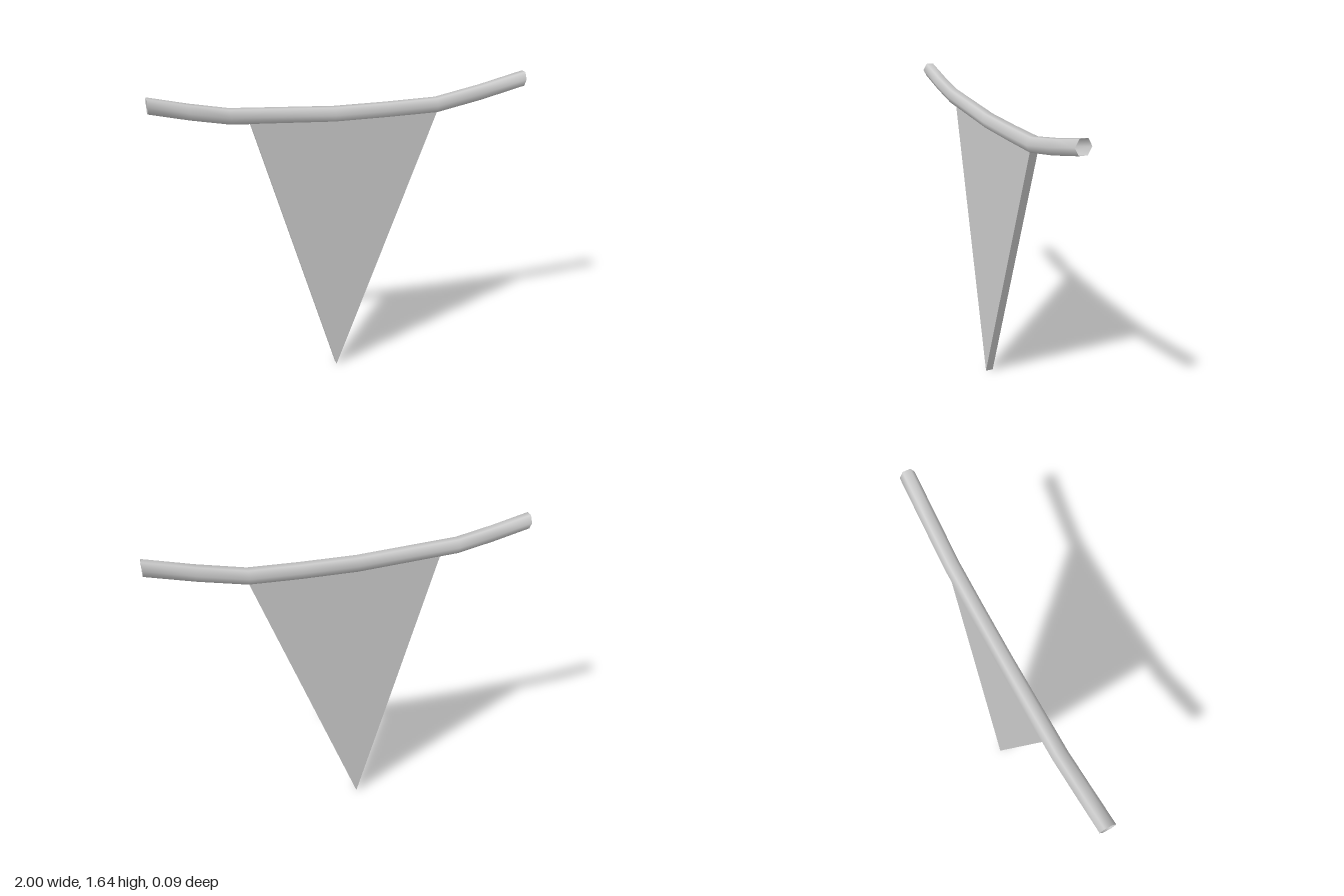
import * as THREE from 'three';
import { mergeVertices } from 'three/addons/utils/BufferGeometryUtils.js';

// centre line of the sagging rope: x, y, z
const path = [
  [-1, 1.6, 0.003], [-0.8, 1.553, 0], [-0.6, 1.514, -0.004], [-0.06, 1.483, -0.005],
  [0.23, 1.484, -0.005], [0.5, 1.49, -0.004], [0.75, 1.54, 0], [1, 1.6, 0.003],
];

// open six-sided tube whose rings stay in vertical planes
function ropeGeometry(radius) {
  const segments = path.length - 1;
  let geometry = new THREE.CylinderGeometry(radius, radius, segments, 6, segments, true);
  geometry.rotateZ(-Math.PI / 2);
  geometry.deleteAttribute('uv');
  geometry.deleteAttribute('normal');
  geometry = mergeVertices(geometry);
  const p = geometry.attributes.position;
  for (let i = 0; i < p.count; i++) {
    const [x, y, z] = path[Math.round(p.getX(i) + segments / 2)];
    p.setXYZ(i, x, y + p.getY(i) * 1.05, z + p.getZ(i));
  }
  geometry.computeVertexNormals();
  return geometry;
}

export function createModel() {
  const group = new THREE.Group();
  const material = new THREE.MeshStandardMaterial({ color: 0xcccccc, side: THREE.DoubleSide });

  const rope = new THREE.Mesh(ropeGeometry(0.041), material);
  rope.name = 'rope';
  group.add(rope);

  // triangular flag, its top edge tucked just inside the rope
  const outline = new THREE.Shape([
    [-0.06, 0], [0.503, 1.462], [-0.06, 1.455], [-0.503, 1.48],
  ].map(([x, y]) => new THREE.Vector2(x, y)));
  const flagGeometry = new THREE.ExtrudeGeometry(outline, { depth: 0.042, bevelEnabled: false });
  flagGeometry.translate(0, 0, -0.025);
  const flag = new THREE.Mesh(flagGeometry, material);
  flag.name = 'pennant';
  group.add(flag);

  return group;
}
